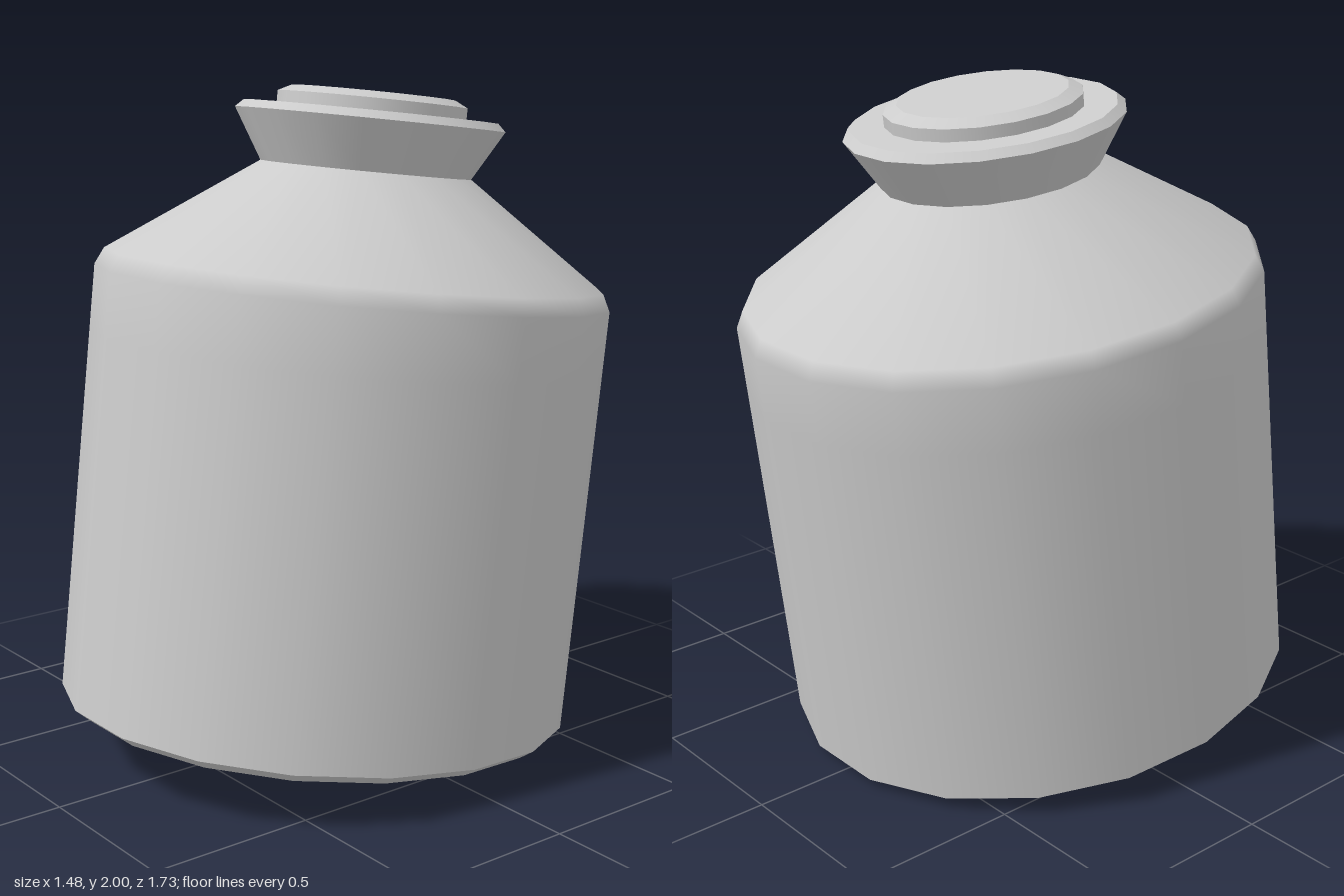
import * as THREE from 'three';

const SIDES = 18;
const grey = new THREE.MeshStandardMaterial({ color: 0xcccccc });

// One smooth band of revolution; separate bands meet in a hard edge
function band(name, points) {
  const profile = points.map(([r, y]) => new THREE.Vector2(r, y));
  const mesh = new THREE.Mesh(new THREE.LatheGeometry(profile, SIDES, Math.PI / SIDES), grey);
  mesh.name = name;
  return mesh;
}

function part(name, bands) {
  const group = new THREE.Group();
  group.name = name;
  bands.forEach((points, i) => group.add(band(name + 'Band' + (i + 1), points)));
  return group;
}

export function createModel() {
  const model = new THREE.Group();
  model.name = 'jar';

  // The jar is slightly oval and leans back
  const jar = new THREE.Group();
  jar.name = 'leaningJar';
  jar.scale.z = 1.085;
  jar.rotation.x = -0.122;
  jar.position.set(0, 0.121, 0.08);
  model.add(jar);

  // Base plate and its bevel, then wall and shoulder blending smoothly
  jar.add(part('body', [
    [[0, -0.03], [0.7, -0.03]],
    [[0.7, -0.03], [0.74, 0]],
    [[0.74, 0], [0.74, 1.1], [0.74, 1.287], [0.717, 1.337], [0.304, 1.634]],
  ]));

  // Flared collar with a bevelled lip and flat top
  jar.add(part('collar', [
    [[0.304, 1.634], [0.388, 1.783]],
    [[0.388, 1.783], [0.365, 1.806]],
    [[0.365, 1.806], [0, 1.806]],
  ]));

  // Low stopper with a bevelled rim
  jar.add(part('stopper', [
    [[0.273, 1.806], [0.273, 1.842]],
    [[0.273, 1.842], [0.235, 1.862]],
    [[0.235, 1.862], [0, 1.862]],
  ]));

  return model;
}
